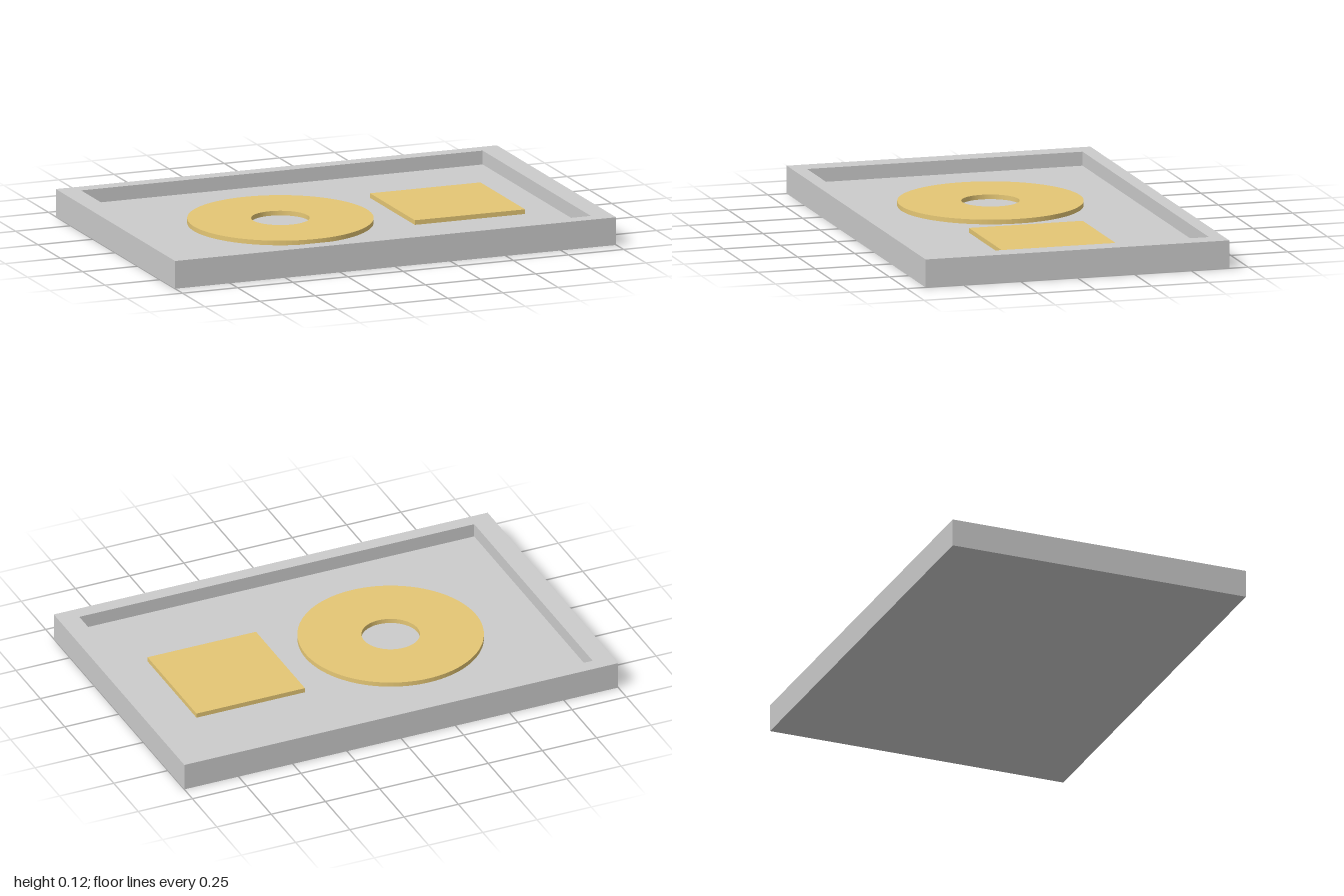
import * as THREE from 'three';

const WIDTH = 2, DEPTH = 1.334, HEIGHT = 0.12;
const INNER_X = 0.91, INNER_Z = 0.605, FLOOR_Y = 0.06, PLATE = 0.02;

const grey = new THREE.MeshStandardMaterial({ color: 0xcccccc });
const gold = new THREE.MeshStandardMaterial({ color: 0xe5c775 });

function rectangle(Path, halfX, halfY) {
  return new Path([[-1, -1], [1, -1], [1, 1], [-1, 1]]
    .map(([x, y]) => new THREE.Vector2(x * halfX, y * halfY)));
}

function circle(Path, radius) {
  const path = new Path();
  path.absarc(0, 0, radius, 0, Math.PI * 2, false);
  return path;
}

// Extrudes a plan outline upward from height y
function slab(name, shape, height, y, material, x = 0) {
  const geometry = new THREE.ExtrudeGeometry(shape, { depth: height, bevelEnabled: false, curveSegments: 48 });
  geometry.rotateX(-Math.PI / 2);
  const mesh = new THREE.Mesh(geometry, material);
  mesh.name = name;
  mesh.position.set(x, y, 0);
  return mesh;
}

export function createModel() {
  const model = new THREE.Group();
  model.name = 'trayWithPlates';

  // Tray: solid base and raised rim around a rectangular recess
  const base = rectangle(THREE.Shape, WIDTH / 2, DEPTH / 2);
  const rim = rectangle(THREE.Shape, WIDTH / 2, DEPTH / 2);
  rim.holes.push(rectangle(THREE.Path, INNER_X, INNER_Z));
  const tray = new THREE.Group();
  tray.name = 'tray';
  tray.add(
    slab('trayBase', base, FLOOR_Y, 0, grey),
    slab('trayRim', rim, HEIGHT - FLOOR_Y, FLOOR_Y, grey),
  );

  // Flat ring and square plate resting on the tray floor
  const ring = circle(THREE.Shape, 0.392);
  ring.holes.push(circle(THREE.Path, 0.123));
  const square = rectangle(THREE.Shape, 0.25, 0.25);
  model.add(
    tray,
    slab('ringPlate', ring, PLATE, FLOOR_Y, gold, -0.252),
    slab('squarePlate', square, PLATE, FLOOR_Y, gold, 0.506),
  );
  return model;
}
